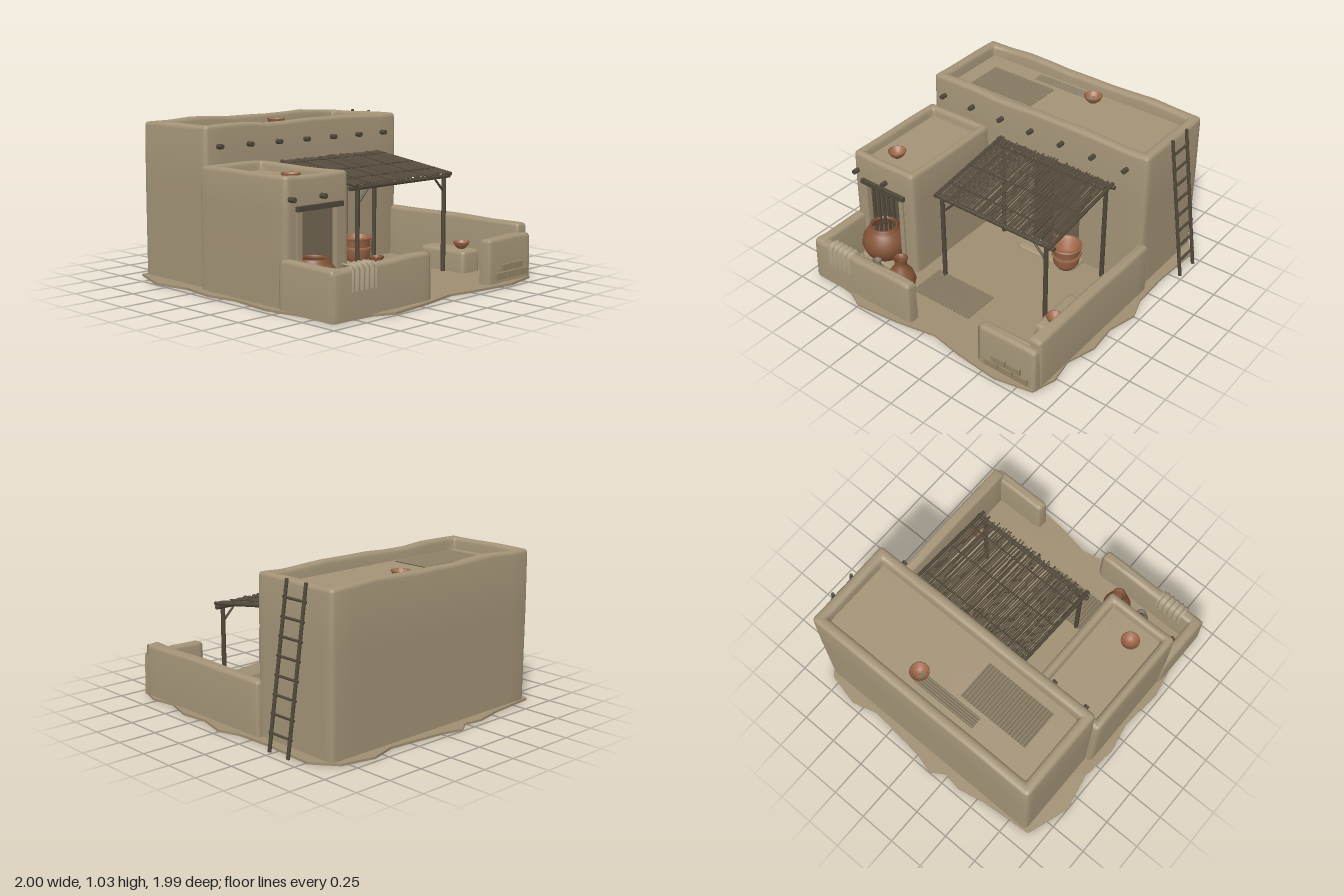
import * as THREE from 'three';
import { toCreasedNormals } from 'three/addons/utils/BufferGeometryUtils.js';

const V = (x, y, z) => new THREE.Vector3(x, y, z);
const mat = (name, color, side = THREE.FrontSide) => {
  const m = new THREE.MeshStandardMaterial({ color, side });
  m.name = name;
  return m;
};

export function createModel() {
  const root = new THREE.Group();
  root.name = 'adobeHouse';
  const M = {
    adobe: mat('adobe', 0xa39377),
    earth: mat('earth', 0x9f8e71),
    interior: mat('shadedInterior', 0x6c604d),
    wood: mat('darkWood', 0x50483a),
    reed: mat('reed', 0x5a5040),
    clay: mat('terracotta', 0xa0694a, THREE.DoubleSide),
    darkClay: mat('darkTerracotta', 0x855538, THREE.DoubleSide),
    stone: mat('greyClay', 0x857a68, THREE.DoubleSide),
    weave: mat('wovenMat', 0x8d7f67, THREE.DoubleSide),
    brick: mat('bareBrick', 0x948468),
  };
  let seed = 7;
  const rnd = () => (seed = (seed * 16807) % 2147483647) / 2147483647;

  const add = (name, geo, m, parent = root) => {
    const mesh = new THREE.Mesh(geo, m);
    mesh.name = name;
    parent.add(mesh);
    return mesh;
  };
  const group = (name) => {
    const g = new THREE.Group();
    g.name = name;
    root.add(g);
    return g;
  };
  const box = (name, x0, x1, y0, y1, z0, z1, m, parent) => {
    const g = new THREE.BoxGeometry(x1 - x0, y1 - y0, z1 - z0);
    g.translate((x0 + x1) / 2, (y0 + y1) / 2, (z0 + z1) / 2);
    return add(name, g, m, parent);
  };
  const pole = (name, a, b, r, m, parent, sides = 7) => {
    const mesh = add(name, new THREE.CylinderGeometry(r * 0.93, r, a.distanceTo(b), sides), m, parent);
    mesh.position.lerpVectors(a, b, 0.5);
    mesh.quaternion.setFromUnitVectors(V(0, 1, 0), b.clone().sub(a).normalize());
    return mesh;
  };

  // Rounded mud-plastered volume, lofted from rounded rectangles; optional sunken roof and door hole
  function adobe(name, x0, x1, z0, z1, h, { floor = 0, rim = 0.06, round = 0.025, door = null, wob = 0.006 } = {}) {
    const stops = [0.1, 0.2, 0.3, 0.4, 0.5, 0.6, 0.7, 0.8, 0.9];
    let front = stops.map((t) => x0 + (x1 - x0) * t);
    if (door) front = [...front.filter((x) => Math.abs(x - door.x0) > 0.02 && Math.abs(x - door.x1) > 0.02), door.x0, door.x1].sort((a, b) => a - b);
    const ring = (d, y, wavy) => {
      const a0 = x0 + d, a1 = x1 - d, c0 = z0 + d, c1 = z1 - d, r = Math.max(0.03 - d, 0.012), p = [];
      const corner = (cx, cz, start) => {
        for (let k = 0; k <= 3; k++) {
          const a = start + (k * Math.PI) / 6;
          p.push([cx + r * Math.cos(a), cz - r * Math.sin(a)]);
        }
      };
      front.forEach((x) => p.push([x, c1]));
      corner(a1 - r, c1 - r, -Math.PI / 2);
      stops.forEach((t) => p.push([a1, c1 + (c0 - c1) * t]));
      corner(a1 - r, c0 + r, 0);
      stops.forEach((t) => p.push([a1 + (a0 - a1) * t, c0]));
      corner(a0 + r, c0 + r, Math.PI / 2);
      stops.forEach((t) => p.push([a0, c0 + (c1 - c0) * t]));
      corner(a0 + r, c1 - r, Math.PI);
      return p.map(([x, z]) => [x, y + (wavy ? wob * (Math.sin(x * 7 + z * 3 + 1) + 0.6 * Math.sin(x * 13 - z * 9)) : 0), z]);
    };
    const rings = [ring(0, 0.005)];
    if (door) rings.push(ring(0, door.top));
    for (let k = 0; k <= 3; k++) {
      const a = (k * Math.PI) / 6;
      rings.push(ring(0.004 + round * (1 - Math.cos(a)), h - round + round * Math.sin(a), true));
    }
    if (floor) {
      for (let k = 3; k >= 0; k--) {
        const a = (k * Math.PI) / 6;
        rings.push(ring(rim - round * (1 - Math.cos(a)), h - round + round * Math.sin(a), true));
      }
      rings.push(ring(rim + 0.006, floor));
    }
    const n = rings[0].length, idx = [];
    for (let j = 0; j < rings.length - 1; j++) {
      for (let i = 0; i < n; i++) {
        const k = (i + 1) % n;
        const mid = (rings[j][i][0] + rings[j][k][0]) / 2;
        if (door && j === 0 && i < front.length - 1 && mid > door.x0 && mid < door.x1) continue;
        const a = j * n + i, b = j * n + k;
        idx.push(a, b, b + n, a, b + n, a + n);
      }
    }
    const top = (rings.length - 1) * n, pos = rings.flat();
    pos.push([(x0 + x1) / 2, floor || h, (z0 + z1) / 2]);
    for (let i = 0; i < n; i++) idx.push(top + i, top + ((i + 1) % n), pos.length - 1);
    const g = new THREE.BufferGeometry();
    g.setAttribute('position', new THREE.Float32BufferAttribute(pos.flat(), 3));
    g.setIndex(idx);
    add(name, toCreasedNormals(g, 0.8), M.adobe);
    if (door) {
      // Inward-facing room behind the opening
      const w = door.x1 - door.x0, room = new THREE.BoxGeometry(w, door.top, door.depth);
      room.scale(-1, 1, 1);
      room.computeVertexNormals();
      room.translate((door.x0 + door.x1) / 2, door.top / 2 + 0.005, z1 - door.depth / 2);
      add(name + 'Doorway', room, M.interior);
    }
  }

  // Ground patch
  const outline = [[-0.9, -0.89], [-0.55, -0.92], [-0.36, -0.96], [-0.23, -0.94], [-0.14, -1], [0, -0.96], [0.4, -0.92], [0.58, -0.97],
    [0.8, -0.92], [0.92, -0.77], [0.9, -0.4], [0.91, -0.15], [0.96, 0], [0.91, 0.2], [0.93, 0.4], [0.87, 0.6], [0.9, 0.77], [0.85, 0.93],
    [0.6, 0.98], [0.3, 0.95], [0.08, 0.91], [-0.2, 0.96], [-0.5, 0.99], [-0.62, 0.93], [-0.9, 0.9], [-0.92, 0.65], [-0.97, 0.4],
    [-0.94, 0.1], [-0.98, -0.1], [-0.95, -0.35], [-1, -0.6], [-0.95, -0.75]];
  const ground = new THREE.ExtrudeGeometry(new THREE.Shape(outline.map(([x, z]) => new THREE.Vector2(x, -z))), { depth: 0.015, bevelEnabled: false });
  ground.rotateX(-Math.PI / 2);
  add('ground', ground, M.earth);

  // Buildings, yard walls, benches
  adobe('mainHouse', -0.875, 0.838, -0.885, -0.24, 1.02, { floor: 0.945, rim: 0.075, door: { x0: -0.02, x1: 0.355, top: 0.65, depth: 0.14 } });
  adobe('sideRoom', -0.915, -0.405, -0.26, 0.525, 0.78, { floor: 0.725, rim: 0.062, wob: 0.004, door: { x0: -0.8, x1: -0.52, top: 0.575, depth: 0.3 } });
  adobe('rightYardWall', 0.785, 0.872, -0.28, 0.885, 0.36, { wob: 0.004 });
  adobe('leftYardWall', -0.93, -0.85, 0.47, 0.92, 0.305, { wob: 0.003 });
  adobe('frontWallLeft', -0.93, -0.11, 0.84, 0.925, 0.3, { wob: 0.005 });
  adobe('frontWallRight', 0.43, 0.865, 0.84, 0.925, 0.3, { wob: 0.004 });
  adobe('yardBench', 0.595, 0.762, 0.2, 0.59, 0.16, { wob: 0.001 });
  adobe('roomStep', -0.84, -0.48, 0.5, 0.61, 0.04, { round: 0.012, wob: 0 });
  adobe('doorStep', -0.06, 0.4, -0.26, -0.1, 0.04, { round: 0.012, wob: 0 });
  for (const x of [-0.815, -0.505]) box('doorJamb', x - 0.017, x + 0.017, 0.01, 0.575, 0.5, 0.537, M.adobe);

  // Bare bricks on the right front wall
  const bricks = group('bricks');
  for (const [x, y] of [[0.495, 0.04], [0.605, 0.04], [0.715, 0.04], [0.55, 0.09], [0.662, 0.09]])
    box('brick', x, x + 0.1, y, y + 0.042, 0.9, 0.942, M.brick, bricks);

  // Roof beam ends and lintels
  const beams = group('roofBeams');
  for (let i = 0; i < 7; i++) pole('beamEnd', V(-0.775 + i * 0.2435, 0.89, -0.3), V(-0.775 + i * 0.2435, 0.89, -0.2), 0.018, M.wood, beams);
  for (const x of [-0.88, -0.635]) pole('beamEnd', V(x, 0.65, 0.44), V(x, 0.65, 0.565), 0.018, M.wood, beams);
  box('roomLintel', -0.84, -0.475, 0.575, 0.605, 0.5, 0.55, M.wood, beams);
  box('mainLintel', -0.07, 0.4, 0.65, 0.685, -0.28, -0.225, M.wood, beams);

  // Half-open doors of upright sticks
  const doors = group('stickDoors');
  for (let i = 0; i < 6; i++) pole('mainDoorStick', V(0.002 + i * 0.025, 0.03, -0.25), V(0.002 + i * 0.025, 0.645, -0.25), 0.012, M.wood, doors);
  for (let i = 0; i < 5; i++) pole('roomDoorStick', V(-0.785 + i * 0.023, 0.03, 0.49 - i * 0.02), V(-0.785 + i * 0.023, 0.565, 0.49 - i * 0.02), 0.011, M.wood, doors);

  // Shade shelter in front of the main door
  const shelter = group('shadeShelter');
  const roofY = (z) => 0.667 + (0.44 - z) * 0.145;
  for (const [x, s] of [[-0.24, 1], [0.573, -1]]) {
    pole('frontPost', V(x, 0.01, 0.43), V(x, 0.64, 0.43), 0.016, M.wood, shelter);
    pole('backPost', V(x, 0.01, -0.2), V(x, 0.74, -0.2), 0.016, M.wood, shelter);
    pole('brace', V(x, 0.545, 0.43), V(x + s * 0.09, 0.635, 0.43), 0.008, M.wood, shelter);
    pole('rafter', V(x - s * 0.035, roofY(0.46), 0.46), V(x - s * 0.035, roofY(-0.22), -0.22), 0.013, M.wood, shelter);
  }
  pole('frontBeam', V(-0.3, 0.647, 0.425), V(0.63, 0.647, 0.425), 0.016, M.wood, shelter);
  pole('backBeam', V(-0.3, 0.742, -0.21), V(0.63, 0.742, -0.21), 0.016, M.wood, shelter);
  for (const z of [-0.13, 0.12, 0.32]) pole('crossPole', V(-0.28, roofY(z) + 0.009, z), V(0.61, roofY(z) + 0.009, z), 0.006, M.wood, shelter, 5);
  for (let i = 0; i < 68; i++) {
    const x = -0.255 + i * 0.0125, a = -0.225 + rnd() * 0.025, b = 0.425 + rnd() * 0.04, lift = rnd() * 0.008;
    pole('reedStick', V(x, roofY(a) + lift, a), V(x + (rnd() - 0.5) * 0.014, roofY(b) + lift, b), 0.0055, M.reed, shelter, 5);
  }

  // Ladder leaning on the right side
  const ladder = group('ladder');
  const ladderX = (y) => 0.985 - (y - 0.02) * 0.145;
  for (const z of [-0.515, -0.678]) pole('rail', V(ladderX(0.02), 0.02, z), V(ladderX(1.02), 1.02, z), 0.012, M.wood, ladder);
  for (let i = 0; i < 8; i++) {
    const y = 0.134 + i * 0.1115;
    pole('rung', V(ladderX(y), y, -0.498), V(ladderX(y), y, -0.695), 0.009, M.wood, ladder, 6);
  }

  // Ribbed cloth: profile rows are [y, z, normalY, normalZ], ribs repeat along x
  function ribbed(name, width, ribs, amp, rows, m) {
    const n = ribs * 6, g = new THREE.PlaneGeometry(1, 1, n, rows.length - 1), p = g.attributes.position;
    rows.forEach(([y, z, ny, nz], j) => {
      for (let i = 0; i <= n; i++) {
        const a = amp * (1 + Math.sin((i / 6) * Math.PI * 2));
        p.setXYZ(j * (n + 1) + i, (i / n - 0.5) * width, y + ny * a, z + nz * a);
      }
    });
    g.computeVertexNormals();
    return add(name, g, m);
  }
  const flat = (d) => [[0, -d / 2, 1, 0], [0, d / 2, 1, 0]];
  ribbed('roofMat', 0.5, 22, 0.007, flat(0.27), M.weave).position.set(-0.415, 0.952, -0.52);
  ribbed('yardMat', 0.46, 20, 0.009, flat(0.26), M.weave).position.set(-0.07, 0.022, 0.55);
  const strip = ribbed('rolledMat', 0.08, 5, 0.008, flat(0.46), M.weave);
  strip.position.set(-0.12, 0.952, -0.725);
  strip.rotation.y = Math.PI / 2;
  ribbed('drapedBlanket', 0.2, 5, 0.006,
    [[0.2, 0.836, 0, -1], [0.285, 0.836, 0, -1], [0.308, 0.852, 1, 0], [0.308, 0.908, 1, 0], [0.288, 0.926, 0, 1], [0.165, 0.926, 0, 1]],
    M.adobe.clone()).position.x = -0.695;
  const blanket = root.getObjectByName('drapedBlanket').material;
  blanket.name = 'blanket';
  blanket.color.set(0xab9c82);
  blanket.side = THREE.DoubleSide;

  // Pottery
  const pot = (name, x, y, z, pts, m) => {
    const g = new THREE.LatheGeometry(pts.map(([r, h]) => new THREE.Vector2(r, h)), 28);
    add(name, g, m).position.set(x, y, z);
  };
  const bowl = (r, h) => [[0, 0], [r * 0.45, 0], [r * 0.8, h * 0.45], [r, h], [r * 0.9, h], [r * 0.7, h * 0.5], [r * 0.35, h * 0.15], [0, h * 0.13]];
  pot('mainRoofBowl', 0.115, 0.945, -0.705, bowl(0.062, 0.045), M.clay);
  pot('sideRoofBowl', -0.7, 0.725, 0.335, bowl(0.06, 0.045), M.clay);
  pot('benchBowl', 0.69, 0.16, 0.49, bowl(0.055, 0.045), M.clay);
  pot('largePot', -0.69, 0.035, 0.515, [[0, 0], [0.08, 0], [0.13, 0.05], [0.153, 0.115], [0.143, 0.17], [0.11, 0.22], [0.09, 0.238], [0.094, 0.255],
    [0.08, 0.255], [0.078, 0.235], [0.125, 0.15], [0.1, 0.05], [0, 0.03]], M.darkClay);
  pot('waterJar', -0.37, 0.015, 0.71, [[0, 0], [0.055, 0], [0.085, 0.05], [0.095, 0.1], [0.08, 0.15], [0.045, 0.2], [0.035, 0.235], [0.05, 0.265],
    [0.04, 0.265], [0.027, 0.235], [0.035, 0.2], [0, 0.12]], M.darkClay);
  pot('greyJar', -0.555, 0.015, 0.735, [[0, 0], [0.035, 0], [0.053, 0.04], [0.055, 0.08], [0.03, 0.13], [0.022, 0.15], [0.031, 0.175],
    [0.024, 0.175], [0.016, 0.15], [0, 0.1]], M.stone);
  pot('stackedBowlLower', 0.335, 0.03, -0.13, [[0, 0], [0.06, 0], [0.085, 0.04], [0.093, 0.09], [0.1, 0.105], [0.09, 0.11], [0, 0.1]], M.clay);
  pot('stackedBowlUpper', 0.335, 0.115, -0.13, [[0, 0], [0.075, 0], [0.09, 0.03], [0.092, 0.07], [0.104, 0.08], [0.104, 0.093], [0.088, 0.093],
    [0.08, 0.06], [0.05, 0.025], [0, 0.02]], M.clay);
  return root;
}
